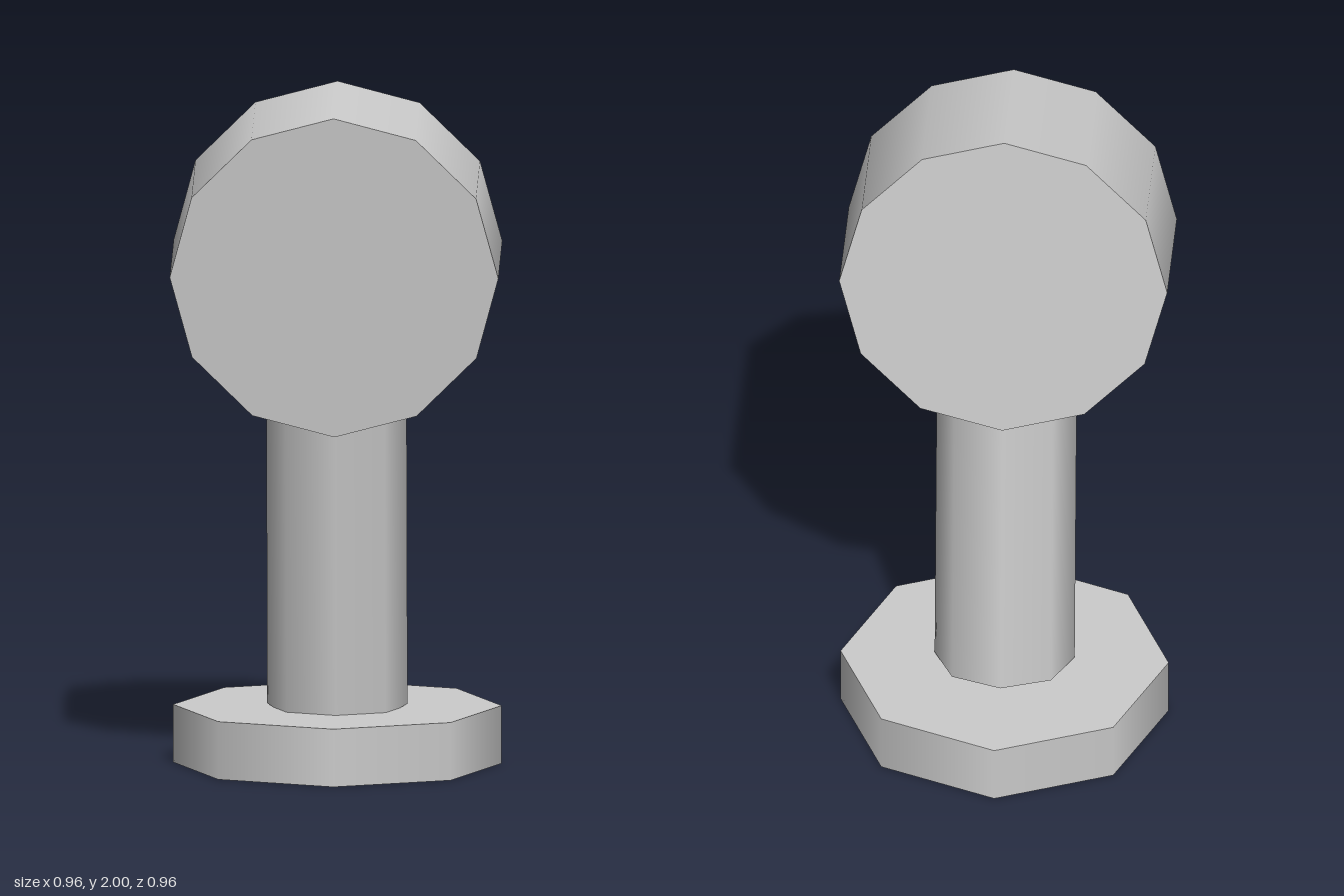
import * as THREE from 'three';

const grey = new THREE.MeshStandardMaterial({ color: 0xcccccc });
grey.name = 'light grey';

// Solid prism with smooth sides and sharp end caps, centred on its own axis
function prism(name, radius, height, sides) {
  const mesh = new THREE.Mesh(new THREE.CylinderGeometry(radius, radius, height, sides), grey);
  mesh.name = name;
  return mesh;
}

export function createModel() {
  const model = new THREE.Group();
  model.name = 'discOnStand';

  // Flat octagonal foot
  const base = prism('base', 0.478, 0.17, 8);
  base.position.y = 0.085;

  // Post leaning forward, its top buried in the head
  const tilt = THREE.MathUtils.degToRad(6.2);
  const length = 1.0;
  const stem = prism('stem', 0.204, length, 8);
  stem.rotation.x = tilt;
  stem.position.set(0, 0.175 + Math.cos(tilt) * length / 2, 0.003 + Math.sin(tilt) * length / 2);

  // Thick twelve-sided disc facing forward and slightly down
  const head = prism('head', 0.478, 0.443, 12);
  head.rotation.x = Math.PI / 2 + THREE.MathUtils.degToRad(5.9);
  head.position.set(0, 1.504, 0.156);

  model.add(base, stem, head);
  return model;
}
